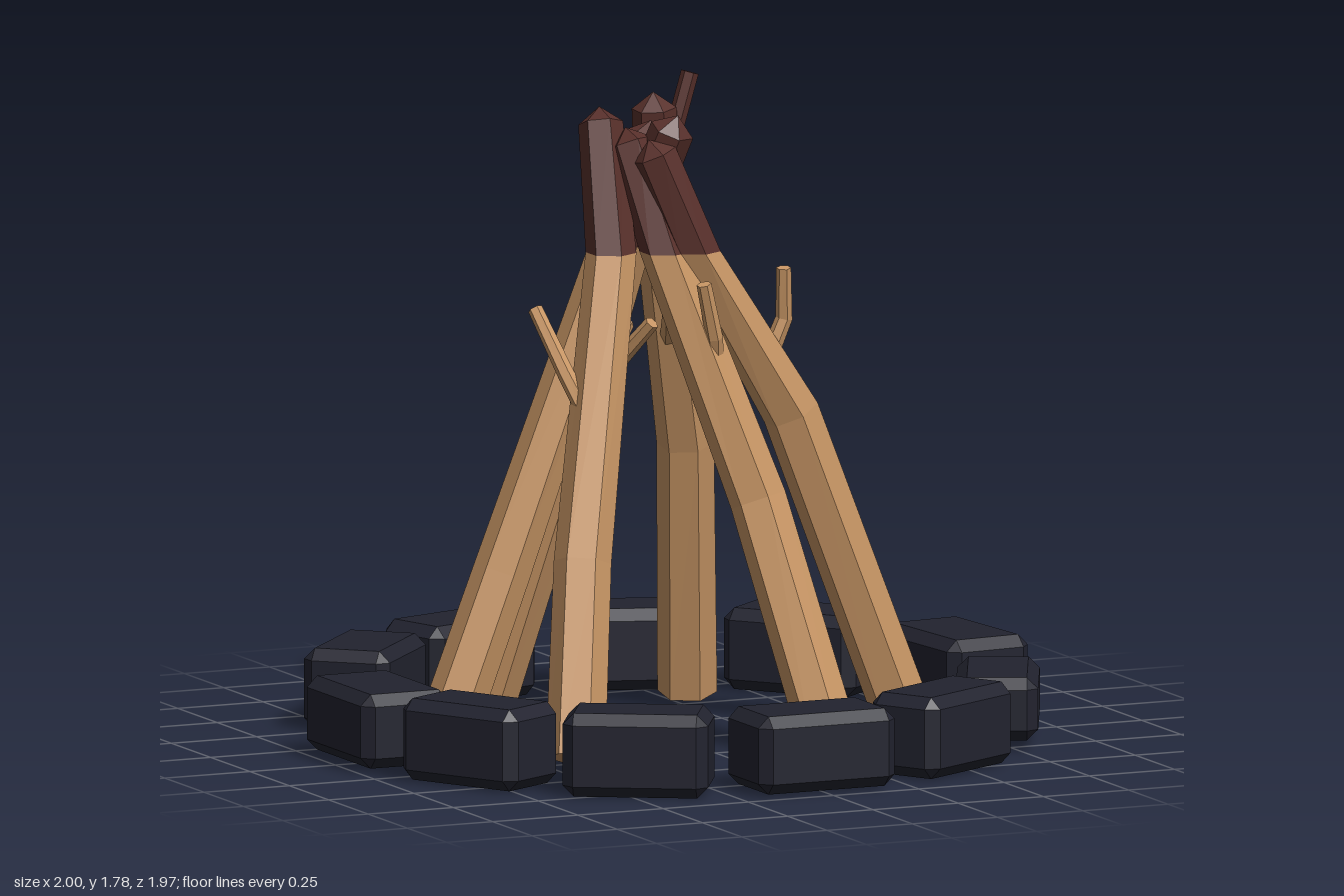
import * as THREE from 'three';
import { ConvexGeometry } from 'three/addons/geometries/ConvexGeometry.js';

const V = (x, y, z) => new THREE.Vector3(x, y, z);
const CHAR_Y = 1.34; // height where the logs turn charred

// Box with every edge and corner chamfered
function chamferBox(w, h, d, b) {
  const pts = [];
  for (const sx of [-1, 1]) for (const sy of [-1, 1]) for (const sz of [-1, 1]) {
    const [x, y, z] = [w / 2, h / 2, d / 2];
    pts.push(V(sx * (x - b), sy * (y - b), sz * z));
    pts.push(V(sx * (x - b), sy * y, sz * (z - b)));
    pts.push(V(sx * x, sy * (y - b), sz * (z - b)));
  }
  return new ConvexGeometry(pts);
}

// Faceted limb through [x, y, z, radius] stations; rings at CHAR_Y stay level
function limb(stations, sides, tip = 0) {
  const p = stations.map(s => V(s[0], s[1], s[2]));
  const last = p.length - 1;
  const tangents = p.map((q, i) => q.y === CHAR_Y ? V(0, 1, 0)
    : p[Math.min(i + 1, last)].clone().sub(p[Math.max(i - 1, 0)]).normalize());
  const rings = p.map((q, i) => {
    const u = V(0, 0, 0).crossVectors(tangents[i], V(0, 0, 1)).normalize();
    const v = V(0, 0, 0).crossVectors(tangents[i], u);
    return Array.from({ length: sides }, (_, j) => {
      const a = (j + 0.5) / sides * Math.PI * 2, r = stations[i][3];
      return q.clone().addScaledVector(u, Math.cos(a) * r).addScaledVector(v, Math.sin(a) * r);
    });
  });
  const apex = p[last].clone().addScaledVector(tangents[last], tip);
  const tris = [];
  for (let j = 0; j < sides; j++) {
    const k = (j + 1) % sides;
    for (let i = 0; i < last; i++) {
      const [a, b, c, d] = [rings[i][j], rings[i][k], rings[i + 1][k], rings[i + 1][j]];
      tris.push(a, b, c, a, c, d);
    }
    tris.push(p[0], rings[0][k], rings[0][j], apex, rings[last][j], rings[last][k]);
  }
  const g = new THREE.BufferGeometry().setFromPoints(tris);
  g.computeVertexNormals();
  return g;
}

export function createModel() {
  const model = new THREE.Group();
  model.name = 'campfire';
  const material = (name, color) => {
    const m = new THREE.MeshStandardMaterial({ color });
    m.name = name;
    return m;
  };
  const wood = material('wood', 0xc89665);
  const charred = material('charred wood', 0x58302b);
  const stone = material('dark stone', 0x22232f);
  const add = (parent, name, geometry, mat) => {
    const mesh = new THREE.Mesh(geometry, mat);
    mesh.name = name;
    parent.add(mesh);
    return mesh;
  };

  // Ring of stones: x, z, long-axis direction x/z, length, width, height
  const stones = [
    [0, 0.86, 1, 0, 0.40, 0.25, 0.21],
    [0.44, 0.735, 62, -35, 0.38, 0.22, 0.22],
    [0.77, 0.375, -32, 67, 0.40, 0.22, 0.17],
    [0.86, -0.085, 7, 73, 0.39, 0.25, 0.225],
    [0.64, -0.575, 47, 57, 0.39, 0.23, 0.22],
    [0.245, -0.83, 68, 22, 0.38, 0.23, 0.22],
    [-0.25, -0.83, 70, -22, 0.38, 0.23, 0.22],
    [-0.645, -0.58, -47, 51, 0.37, 0.24, 0.22],
    [-0.87, -0.01, 0, 1, 0.40, 0.26, 0.2],
    [-0.765, 0.41, 34, 62, 0.38, 0.23, 0.22],
    [-0.45, 0.735, 63, 37, 0.39, 0.23, 0.225],
  ];
  const ring = new THREE.Group();
  ring.name = 'stoneRing';
  model.add(ring);
  for (const [x, z, dx, dz, l, w, h] of stones) {
    const s = add(ring, 'stone', chamferBox(l, h, w, 0.03), stone);
    s.position.set(x, 0.12, z);
    s.rotation.y = Math.atan2(-dz, dx);
  }

  // Leaning logs: base, bend, char line and tip centres
  const logs = {
    leftLog: [[-0.65, 0.05, -0.065], [-0.48, 0.48, -0.07], [-0.15, CHAR_Y, -0.07], [-0.06, 1.63, -0.06]],
    rightLog: [[0.62, 0.05, 0.09], [0.3, 0.88, 0.08], [0.01, CHAR_Y, 0.1], [-0.09, 1.6, 0.06]],
    frontRightLog: [[0.235, 0.05, 0.47], [0.13, 0.68, 0.24], [-0.07, CHAR_Y, 0.08], [-0.12, 1.62, -0.03]],
    frontLeftLog: [[-0.48, 0.05, 0.4], [-0.39, 0.55, 0.25], [-0.205, CHAR_Y, 0.03], [-0.18, 1.67, -0.09]],
    backLeftLog: [[-0.35, 0.05, -0.46], [-0.24, 0.6, -0.3], [-0.11, CHAR_Y, -0.08], [-0.03, 1.66, 0.04]],
    backRightLog: [[0.245, 0.05, -0.46], [0.17, 0.75, -0.31], [0.03, CHAR_Y, -0.16], [0.0, 1.69, -0.14]],
  };
  for (const [name, [base, bend, split, tip]] of Object.entries(logs)) {
    const log = new THREE.Group();
    log.name = name;
    model.add(log);
    const mid = [...split, 0.068];
    add(log, 'logWood', limb([[...base, 0.08], [...bend, 0.077], mid], 6), wood);
    add(log, 'charredEnd', limb([mid, [...tip, 0.06]], 6, 0.045), charred);
  }

  // Short crooked twigs growing from the logs
  const twigs = [
    [[-0.33, 0.93, 0.15], [-0.36, 1.03, 0.08], [-0.395, 1.19, -0.04]],
    [[0.2, 0.97, 0.09], [0.27, 1.14, 0.1], [0.26, 1.28, 0.12]],
    [[0.05, 0.95, 0.14], [0.02, 1.12, 0.2], [-0.02, 1.27, 0.22]],
    [[-0.21, 0.92, -0.17], [-0.13, 1.04, -0.06], [-0.08, 1.14, 0.02]],
    [[-0.27, 0.92, -0.03], [-0.17, 1.03, -0.08], [-0.07, 1.11, -0.16]],
    [[0.08, 1.04, -0.22], [0.03, 1.13, -0.1], [0.0, 1.27, -0.02]],
  ];
  for (const t of twigs) {
    add(model, 'twig', limb(t.map((q, i) => [...q, 0.026 - i * 0.003]), 6), wood);
  }
  const charredTwigs = [
    [[0.01, 1.44, -0.14], [0.06, 1.63, -0.14], [0.105, 1.78, -0.14]],
    [[-0.02, 1.42, -0.13], [-0.04, 1.53, -0.17], [-0.05, 1.62, -0.19]],
  ];
  for (const t of charredTwigs) {
    add(model, 'charredTwig', limb(t.map(q => [...q, 0.024]), 6), charred);
  }
  return model;
}
